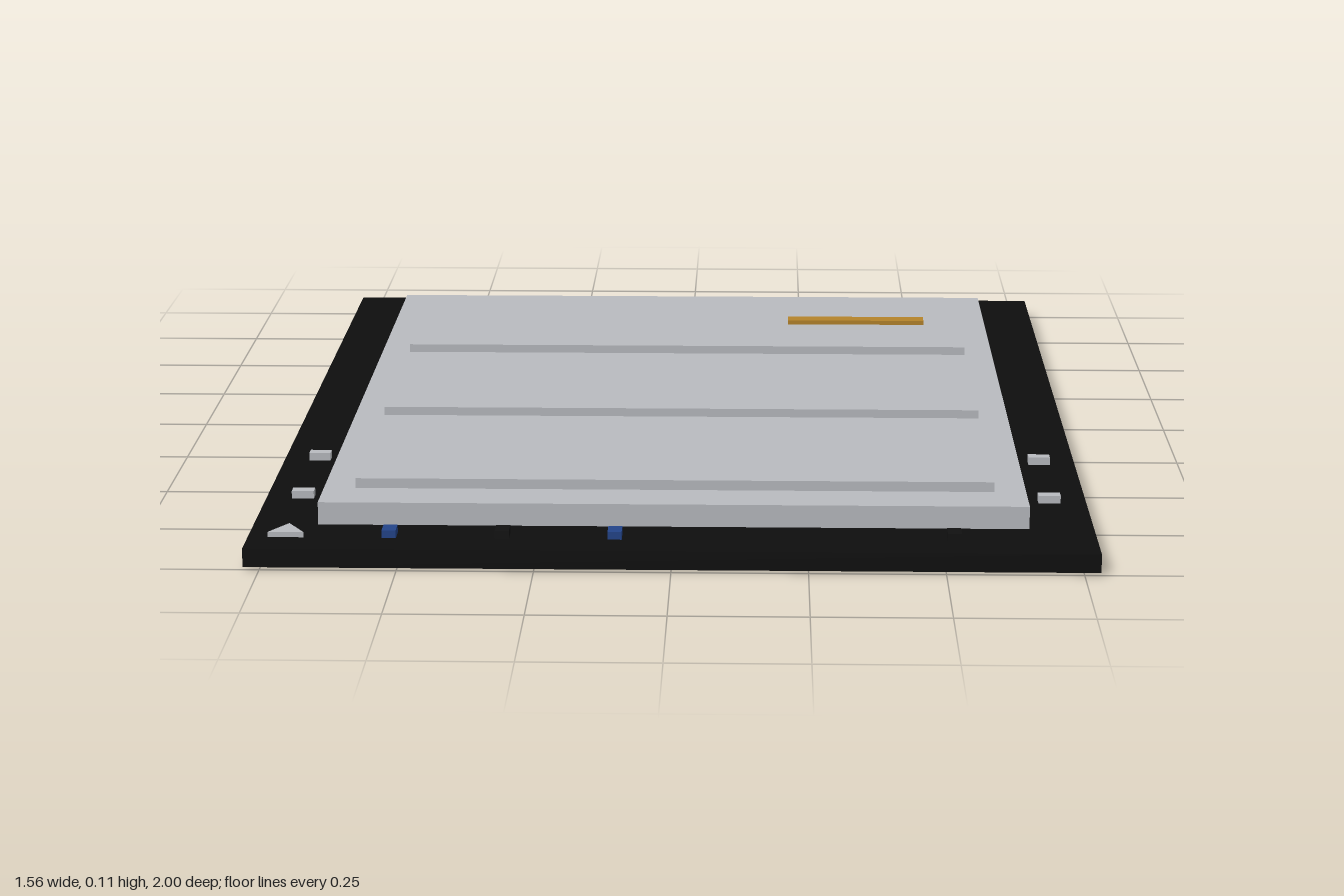
import * as THREE from 'three';

export function createModel() {
  const model = new THREE.Group();
  const mat = (name, color) => {
    const m = new THREE.MeshStandardMaterial({ color });
    m.name = name;
    return m;
  };
  const black = mat('board black', 0x0e0e0e);
  const silver = mat('silver metal', 0xb9bbc0);
  const blue = mat('component blue', 0x23448a);
  const gold = mat('gold', 0xb5842a);
  const chip = mat('chip black', 0x111111);

  // Box given by its centre in x and z, and its bottom and top heights
  const box = (name, material, x, z, w, d, y0, y1) => {
    const mesh = new THREE.Mesh(new THREE.BoxGeometry(w, y1 - y0, d), material);
    mesh.position.set(x, (y0 + y1) / 2, z);
    mesh.name = name;
    model.add(mesh);
  };

  // Board with a metal plate underneath
  box('backPlate', silver, 0, 0, 1.45, 1.86, 0, 0.006);
  box('board', black, 0, 0, 1.56, 2, 0.005, 0.04);

  // Shield lid with three raised panels and a gold bar
  box('shield', silver, 0, 0, 1.32, 1.69, 0.04, 0.083);
  for (const z of [-0.525, 0, 0.52]) box('raisedPanel', silver, 0, z, 1.2, 0.458, 0.083, 0.102);
  box('goldBar', gold, 0.37, -0.517, 0.3, 0.037, 0.102, 0.111);

  // Small components along the front and back edges
  for (const z of [-0.913, 0.91]) {
    for (const x of [-0.52, -0.105]) box('blueComponent', blue, x, z, 0.026, 0.038, 0.04, 0.055);
    for (const x of [-0.312, 0.518]) box('blackComponent', chip, x, z, 0.026, 0.038, 0.04, 0.055);
  }

  // Silver contacts along the two sides
  for (const x of [-0.71, 0.71]) {
    for (const z of [0.398, 0.665]) box('sideContact', silver, x, z, 0.042, 0.024, 0.04, 0.055);
  }

  // Triangular corner marker, pointing to the back
  const marker = new THREE.Mesh(new THREE.CylinderGeometry(0.038, 0.038, 0.01, 3).toNonIndexed(), silver);
  marker.geometry.computeVertexNormals();
  marker.rotation.y = Math.PI;
  marker.position.set(-0.71, 0.045, 0.908);
  marker.name = 'cornerMarker';
  model.add(marker);

  return model;
}
